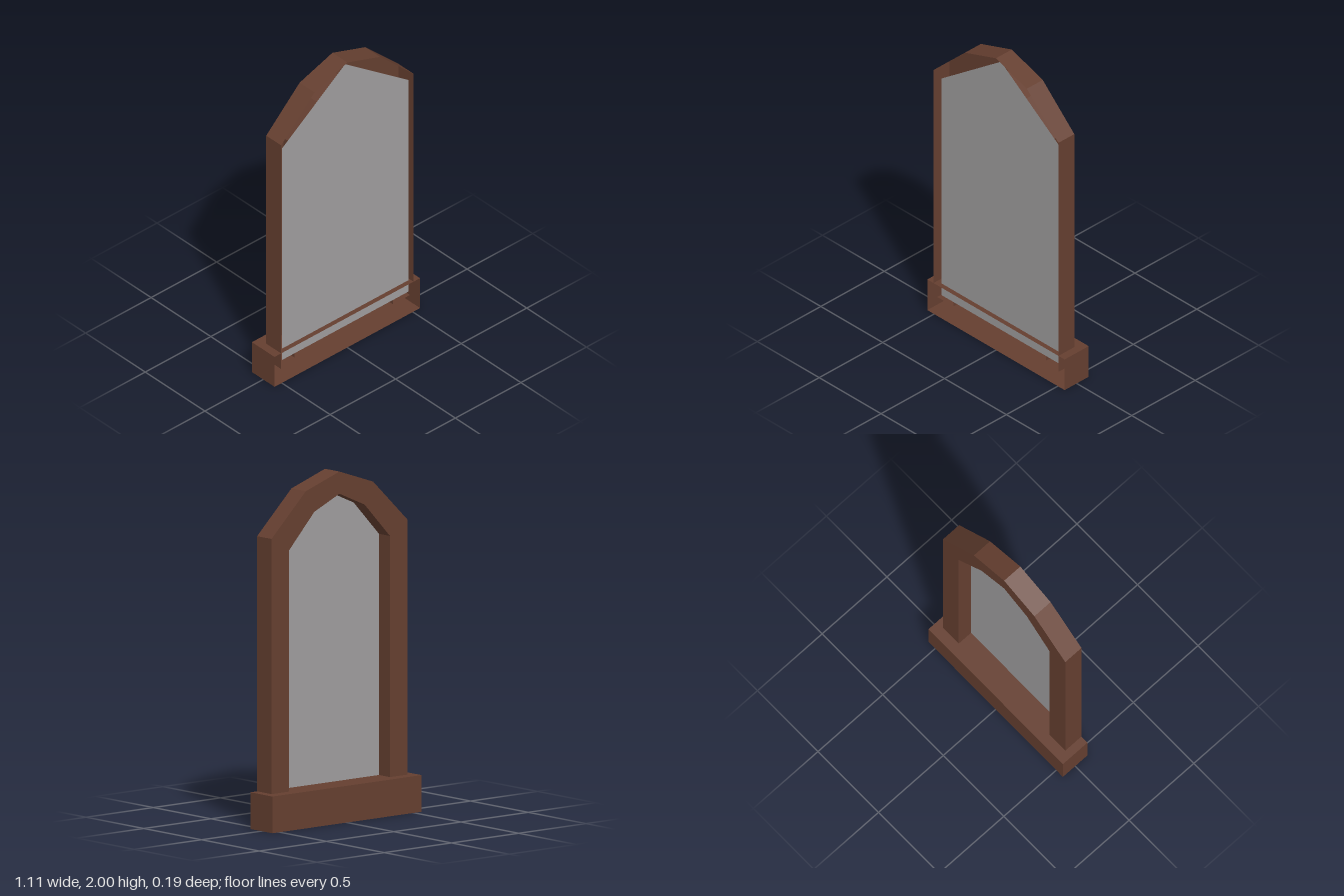
import * as THREE from 'three';

// Depth levels and sill size
const FRONT = 0.095, BACK = -0.03, GLASS = 0.065;
const SILL_W = 1.11, SILL_H = 0.21, SILL_D = 0.19;

// Right half of an arch, mirrored into a full run from left foot to right foot
function mirrored(half) {
  const left = half.map(([x, y]) => [-x, y]);
  const right = half.slice(0, -1).reverse();
  return [...left, ...right];
}

// Ribbon of flat faces following a polyline, from depth z0 to z1
function ribbon(points, z0, z1) {
  const pos = [];
  for (let i = 0; i < points.length - 1; i++) {
    const [ax, ay] = points[i], [bx, by] = points[i + 1];
    pos.push(ax, ay, z0, ax, ay, z1, bx, by, z1);
    pos.push(ax, ay, z0, bx, by, z1, bx, by, z0);
  }
  const g = new THREE.BufferGeometry();
  g.setAttribute('position', new THREE.Float32BufferAttribute(pos, 3));
  g.computeVertexNormals();
  return g;
}

function plate(points, z) {
  const shape = new THREE.Shape(points.map(([x, y]) => new THREE.Vector2(x, y)));
  return new THREE.ShapeGeometry(shape).translate(0, 0, z);
}

export function createModel() {
  const wood = new THREE.MeshStandardMaterial({ color: 0x653f30, side: THREE.DoubleSide, flatShading: true });
  wood.name = 'brown wood';
  const pane = new THREE.MeshStandardMaterial({ color: 0x9f9d9e, side: THREE.DoubleSide, flatShading: true });
  pane.name = 'grey glass';

  const model = new THREE.Group();
  model.name = 'archedWindow';
  const add = (name, geometry, material, parent = model) => {
    const mesh = new THREE.Mesh(geometry, material);
    mesh.name = name;
    parent.add(mesh);
  };

  // Arched frame: a hollow shell, open towards the front
  const outer = mirrored([[0.505, 0.1], [0.505, 1.67], [0.25, 1.915], [0, 2]]);
  const inner = mirrored([[0.375, 0.1], [0.375, 1.59], [0.187, 1.79], [0, 1.873]]);
  const frame = new THREE.Group();
  frame.name = 'frame';
  model.add(frame);
  add('frameOuterWall', ribbon(outer, BACK, FRONT), wood, frame);
  add('frameInnerReveal', ribbon([...inner].reverse(), BACK, GLASS), wood, frame);
  // Reversed depth order makes the plate face backwards
  const face = plate([...outer, ...[...inner].reverse()], 0);
  face.rotateY(Math.PI).translate(0, 0, BACK);
  add('frameBackFace', face, wood, frame);
  for (const s of [-1, 1]) {
    const foot = s > 0 ? [[0.505, 0.1], [0.375, 0.1]] : [[-0.375, 0.1], [-0.505, 0.1]];
    add(s > 0 ? 'leftFoot' : 'rightFoot', ribbon(foot, BACK, GLASS), wood, frame);
  }

  // Sill: a box without its front face
  const sill = new THREE.BoxGeometry(SILL_W, SILL_H, SILL_D).translate(0, SILL_H / 2, 0);
  const index = Array.from(sill.index.array);
  index.splice(24, 6);
  sill.setIndex(index);
  sill.clearGroups();
  add('sill', sill, wood);

  // Glass pane with a pointed top, set just inside the open front
  add('glass', plate([[-0.47, 0.13], [0.493, 0.13], [0.493, 1.615], [0.01, 1.967], [-0.47, 1.615]], GLASS), pane);

  return model;
}
